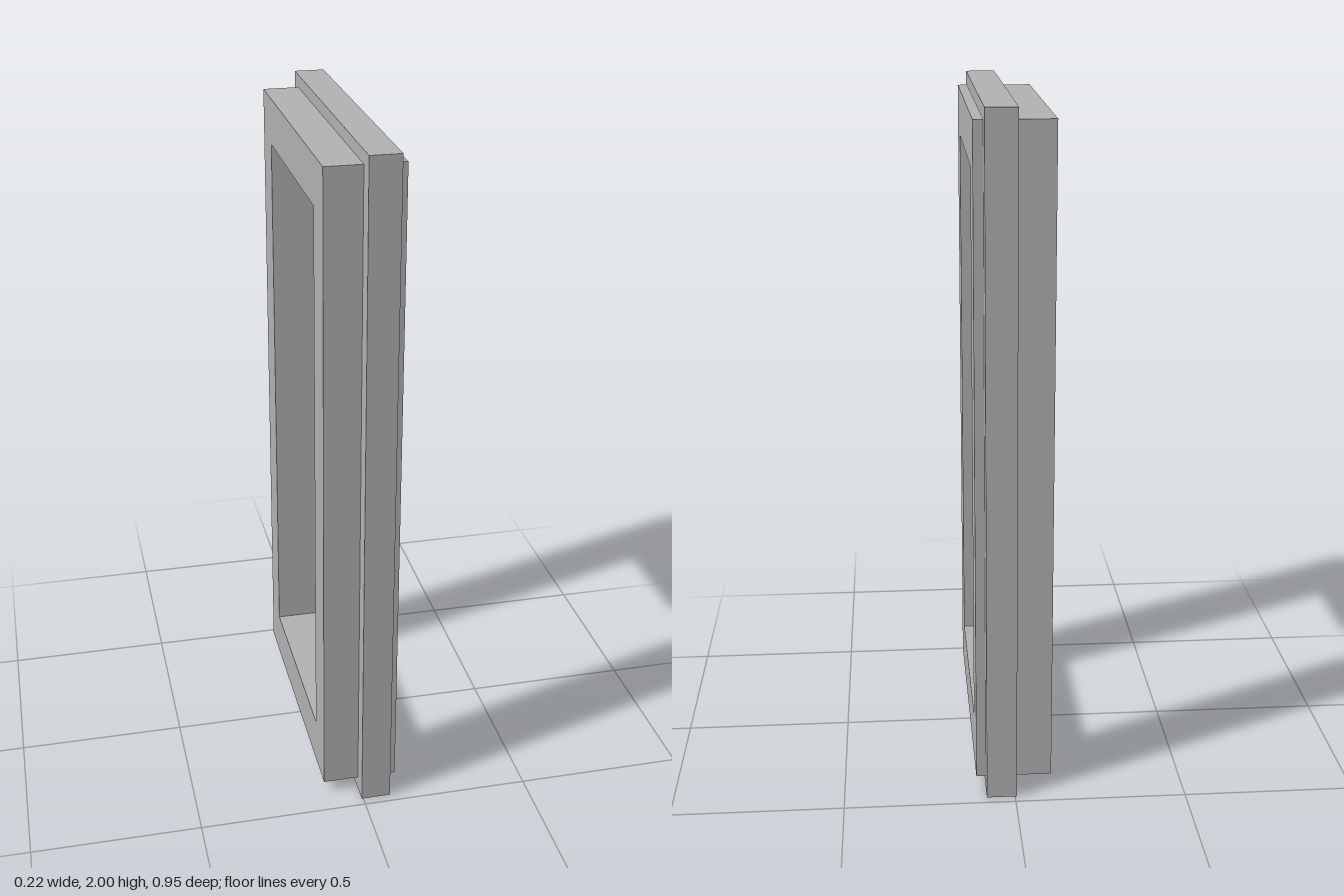
import * as THREE from 'three';

export function createModel() {
  const group = new THREE.Group();
  group.name = 'windowFrame';
  const grey = new THREE.MeshStandardMaterial({ color: 0xb2b2b2 });
  grey.name = 'light grey';

  const rect = (P, halfW, y0, y1) => new P([
    new THREE.Vector2(-halfW, y0), new THREE.Vector2(halfW, y0),
    new THREE.Vector2(halfW, y1), new THREE.Vector2(-halfW, y1),
  ]);

  // One rectangular ring around the shared opening, running from x0 to x1
  function ring(name, halfW, y0, y1, x0, x1) {
    const shape = rect(THREE.Shape, halfW, y0, y1);
    shape.holes.push(rect(THREE.Path, 0.303, 0.18, 1.826));
    const geo = new THREE.ExtrudeGeometry(shape, { depth: x1 - x0, bevelEnabled: false });
    geo.rotateY(Math.PI / 2).translate(x0, 0, 0);
    const mesh = new THREE.Mesh(geo, grey);
    mesh.name = name;
    group.add(mesh);
  }

  // Deep body, wide flange and thin raised lip
  ring('innerFrame', 0.42, 0.04, 1.963, -0.111, -0.005);
  ring('flange', 0.473, 0, 2, -0.005, 0.083);
  ring('outerLip', 0.42, 0.04, 1.963, 0.083, 0.111);

  return group;
}
